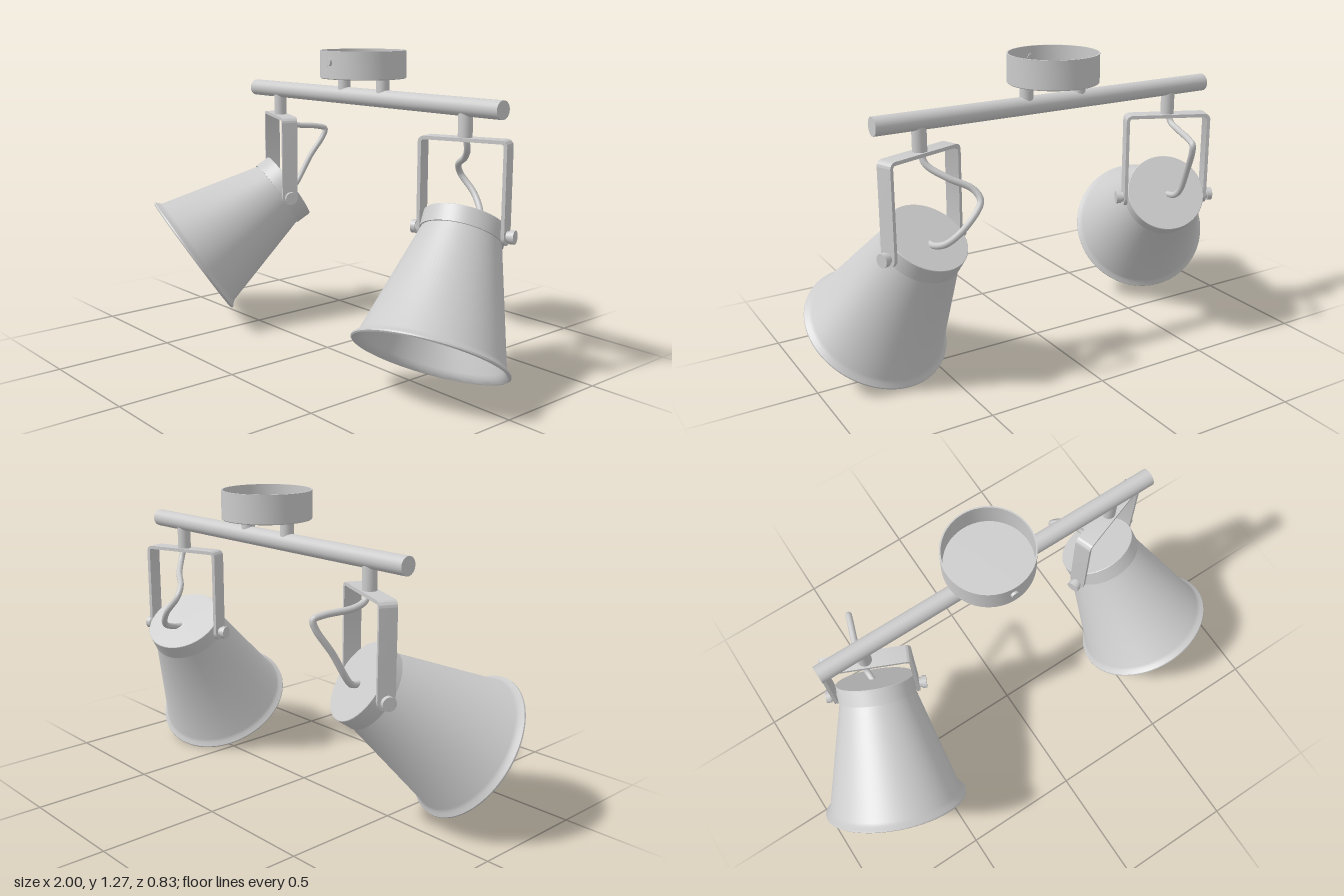
import * as THREE from 'three';
import { toCreasedNormals } from 'three/addons/utils/BufferGeometryUtils.js';

const material = new THREE.MeshStandardMaterial({ color: 0xcccccc });
const BAR_Y = 1.075, BAR_Z = -0.17, YOKE_TOP = 0.96, PIVOT_Y = 0.595;

function add(parent, name, geometry, x = 0, y = 0, z = 0) {
  const mesh = new THREE.Mesh(geometry, material);
  mesh.name = name;
  mesh.position.set(x, y, z);
  parent.add(mesh);
  return mesh;
}

const rod = (r, h, sides = 32) => new THREE.CylinderGeometry(r, r, h, sides);

// Closed profile: inside surface downwards/outwards, then outside surface upwards
function lathe(points, segments = 64) {
  const profile = points.map(([r, y]) => new THREE.Vector2(r, y));
  return toCreasedNormals(new THREE.LatheGeometry(profile, segments), 0.6);
}

// U-shaped strap with rounded upper corners, pivot at its origin
function yokeGeometry(half, height, t, width) {
  const s = new THREE.Shape(), c = 0.025, i = half - t, k = c - t;
  s.moveTo(-half, 0);
  s.lineTo(-i, 0);
  s.lineTo(-i, height - c);
  s.absarc(-half + c, height - c, k, Math.PI, Math.PI / 2, true);
  s.lineTo(half - c, height - t);
  s.absarc(half - c, height - c, k, Math.PI / 2, 0, true);
  s.lineTo(i, 0);
  s.lineTo(half, 0);
  s.lineTo(half, height - c);
  s.absarc(half - c, height - c, c, 0, Math.PI / 2, false);
  s.lineTo(-half + c, height);
  s.absarc(-half + c, height - c, c, Math.PI / 2, Math.PI, false);
  s.closePath();
  const g = new THREE.ExtrudeGeometry(s, { depth: width, bevelEnabled: false, curveSegments: 8 });
  g.translate(0, 0, -width / 2);
  return toCreasedNormals(g, 0.6);
}

function createLamp(x, turn, tilt) {
  const lamp = new THREE.Group();
  lamp.position.set(x, PIVOT_Y, BAR_Z);
  lamp.rotation.y = turn;

  // Yoke with rounded strap ends and pivot bolts
  const half = 0.18, t = 0.014, width = 0.07;
  add(lamp, 'yoke', yokeGeometry(half, YOKE_TOP - PIVOT_Y, t, width));
  for (const side of [-1, 1]) {
    add(lamp, 'yokeEnd', rod(width / 2, t), side * (half - t / 2)).rotation.z = Math.PI / 2;
    add(lamp, 'pivotPin', rod(0.014, 0.05, 20), side * 0.165).rotation.z = Math.PI / 2;
    add(lamp, 'boltWasher', rod(0.021, 0.012, 24), side * 0.186).rotation.z = Math.PI / 2;
    add(lamp, 'boltHead', rod(0.027, 0.02, 24), side * 0.201).rotation.z = Math.PI / 2;
  }

  // Tilting head, opening along its own -y
  const head = new THREE.Group();
  head.name = 'lampHead';
  head.rotation.x = -tilt;
  lamp.add(head);
  add(head, 'collar', lathe([
    [0, -0.025], [0.165, -0.025], [0.165, 0.043], [0.163, 0.045], [0, 0.045],
  ]));
  add(head, 'shade', lathe([
    [0, -0.03], [0.15, -0.03], [0.272, -0.485], [0.28, -0.499], [0.292, -0.512],
    [0.298, -0.515], [0.303, -0.511], [0.303, -0.505], [0.298, -0.5],
    [0.289, -0.492], [0.28, -0.48], [0.159, -0.024], [0, -0.024],
  ], 96));
  add(head, 'socket', rod(0.055, 0.12), 0, -0.085, 0);
  add(head, 'bulbNeck', new THREE.CylinderGeometry(0.045, 0.075, 0.06, 32), 0, -0.165, 0);
  add(head, 'bulb', new THREE.SphereGeometry(0.128, 40, 28), 0, -0.275, 0);
  return lamp;
}

function cable(points) {
  const curve = new THREE.CatmullRomCurve3(points.map((p) => new THREE.Vector3(...p)));
  return new THREE.TubeGeometry(curve, 80, 0.013, 12);
}

export function createModel() {
  const model = new THREE.Group();
  model.name = 'twinSpotlight';

  // Ceiling cup, open at the top, with its side screw
  add(model, 'ceilingCup', lathe([
    [0, 1.155], [0.177, 1.155], [0.18, 1.158], [0.18, 1.27],
    [0.174, 1.27], [0.174, 1.162], [0, 1.162],
  ]), 0.03, 0, BAR_Z);
  add(model, 'cupScrew', rod(0.016, 0.02, 20), 0.025, 1.225, 0.01).rotation.x = Math.PI / 2;
  for (const x of [-0.09, 0.15]) add(model, 'cupPost', rod(0.027, 0.08), x, 1.12, BAR_Z);

  // Crossbar
  add(model, 'crossbar', rod(0.036, 1.51, 40), 0.03, BAR_Y, BAR_Z).rotation.z = Math.PI / 2;

  // Lamps hanging from stems, each with its cable
  const lamps = [
    { side: 'left', x: 0.605, turn: 0.345, tilt: 0.597, path: [
      [0.605, 0.965, -0.172], [0.595, 0.915, -0.195], [0.535, 0.868, -0.25],
      [0.457, 0.825, -0.3], [0.443, 0.785, -0.33], [0.505, 0.71, -0.345],
      [0.57, 0.64, -0.31], [0.595, 0.615, -0.25], [0.595, 0.61, -0.19],
    ] },
    { side: 'right', x: -0.542, turn: -0.42, tilt: 0.977, path: [
      [-0.542, 0.965, -0.172], [-0.545, 0.925, -0.195], [-0.54, 0.905, -0.25],
      [-0.505, 0.893, -0.36], [-0.493, 0.88, -0.4], [-0.497, 0.85, -0.395],
      [-0.525, 0.75, -0.335], [-0.54, 0.65, -0.28], [-0.537, 0.62, -0.25], [-0.535, 0.61, -0.19],
    ] },
  ];
  for (const { side, x, turn, tilt, path } of lamps) {
    add(model, side + 'Stem', rod(0.028, 0.11), x, 1.015, BAR_Z);
    const lamp = createLamp(x, turn, tilt);
    lamp.name = side + 'Lamp';
    model.add(lamp);
    add(model, side + 'Cable', cable(path));
  }
  return model;
}
